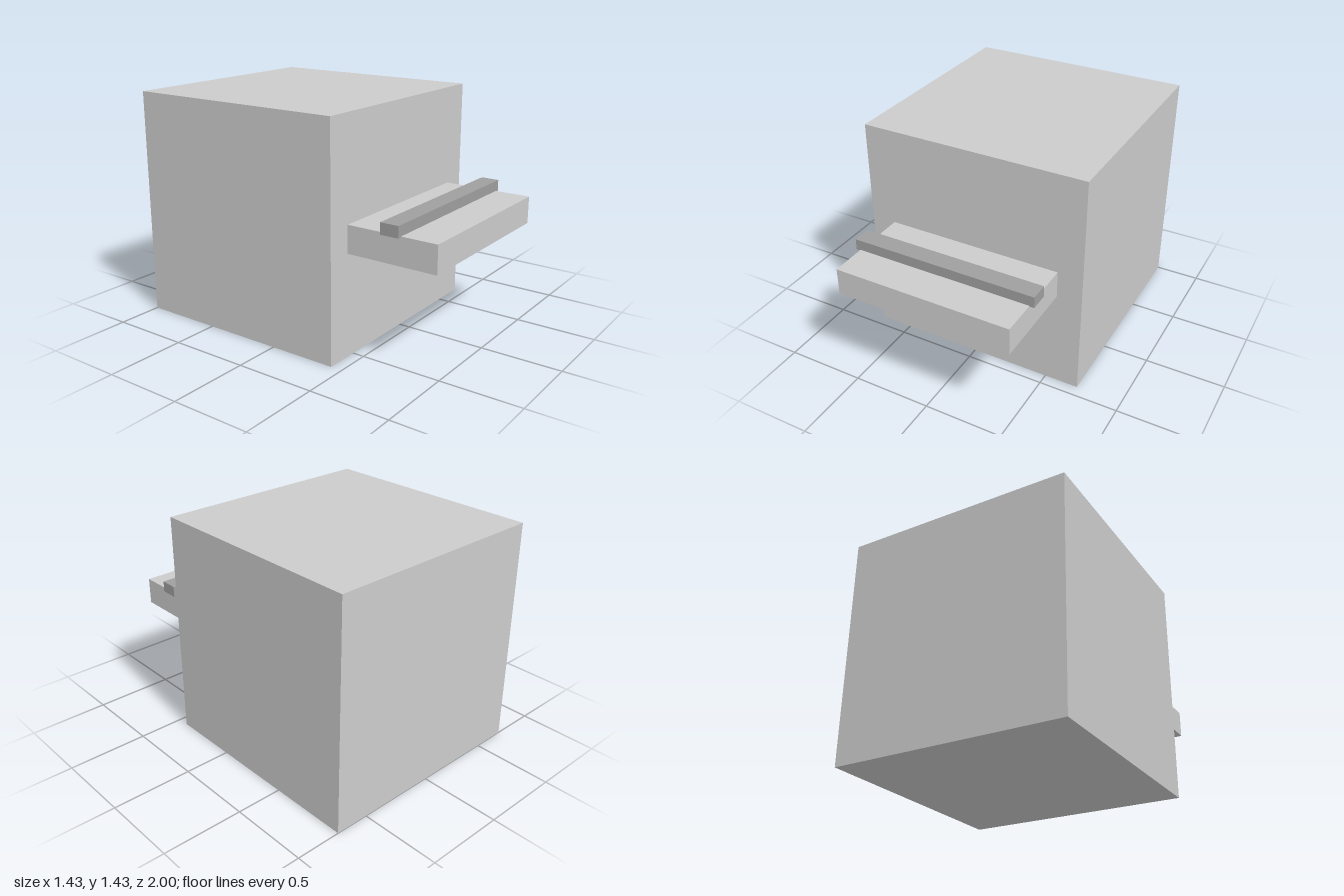
import * as THREE from 'three';

const grey = new THREE.MeshStandardMaterial({ color: 0xcccccc });
const darkGrey = new THREE.MeshStandardMaterial({ color: 0x9f9f9f });

// Box centred on x, given its width and its y and z extents
function block(name, width, [y0, y1], [z0, z1], material) {
  const mesh = new THREE.Mesh(new THREE.BoxGeometry(width, y1 - y0, z1 - z0), material);
  mesh.name = name;
  mesh.position.set(0, (y0 + y1) / 2, (z0 + z1) / 2);
  return mesh;
}

export function createModel() {
  const model = new THREE.Group();
  model.name = 'blockWithLedge';
  model.add(
    // Large cube
    block('body', 1.428, [0, 1.428], [-1, 0.428], grey),
    // Shelf projecting from the front face
    block('ledge', 1.114, [0.63, 0.80], [0.428, 1], grey),
    // Bar lying across the shelf, overhanging both ends
    block('crossBar', 1.17, [0.795, 0.865], [0.66, 0.775], darkGrey),
  );
  return model;
}
